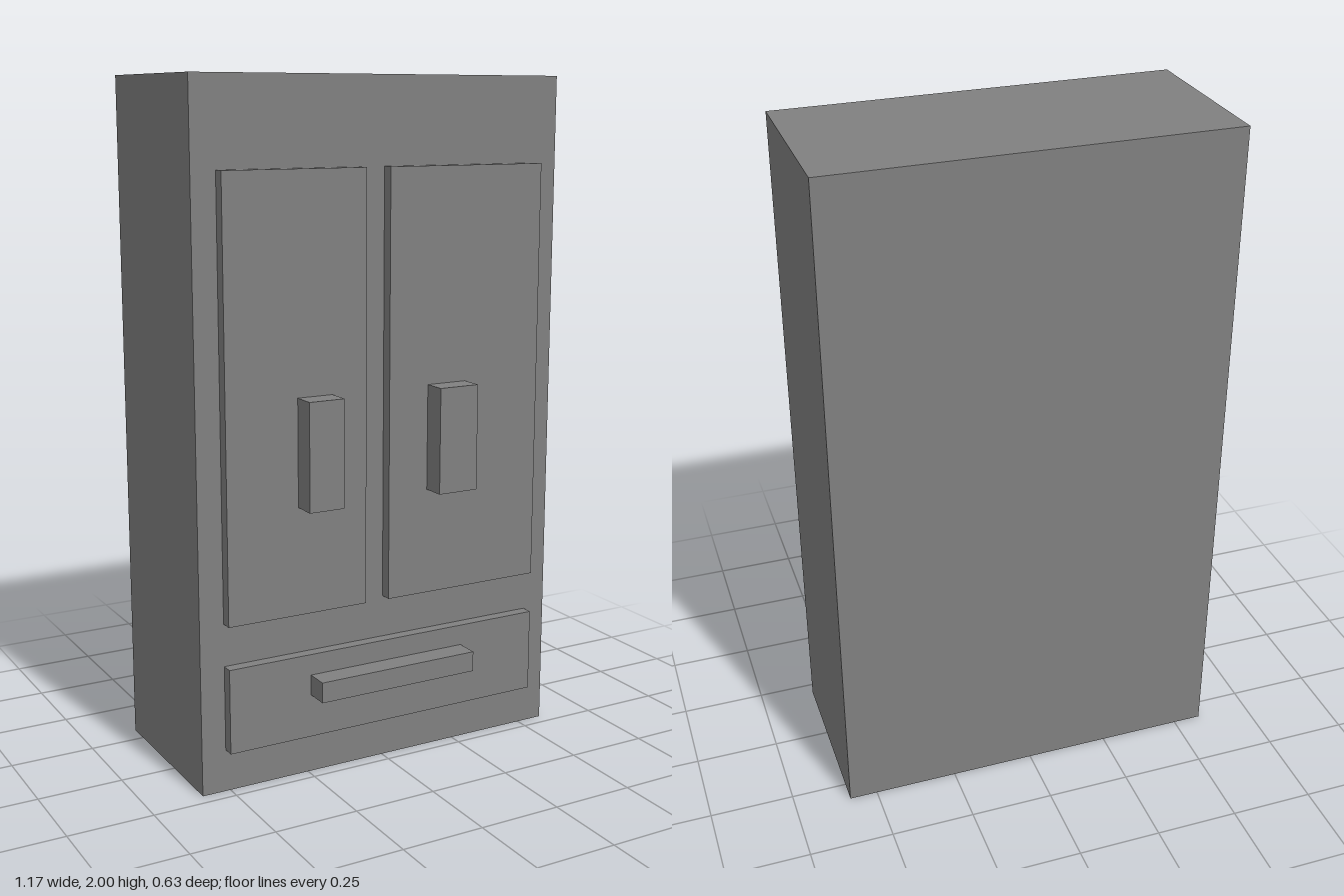
import * as THREE from 'three';

export function createModel() {
  const group = new THREE.Group();
  group.name = 'wardrobe';
  const gray = new THREE.MeshStandardMaterial({ color: 0x808080 });
  gray.name = 'gray';

  // Box given by its limits on each axis
  function addBox(name, [x0, x1], [y0, y1], [z0, z1]) {
    const mesh = new THREE.Mesh(new THREE.BoxGeometry(x1 - x0, y1 - y0, z1 - z0), gray);
    mesh.position.set((x0 + x1) / 2, (y0 + y1) / 2, (z0 + z1) / 2);
    mesh.name = name;
    group.add(mesh);
  }

  const panelDepth = [0.21, 0.245];
  const handleDepth = [0.245, 0.315];
  const doorHeight = [0.5, 1.75];
  const doorHandleHeight = [0.815, 1.127];

  // Cabinet body
  addBox('body', [-0.586, 0.584], [0, 2], [-0.315, 0.21]);

  // Doors: the left one is slightly wider
  addBox('rightDoor', [-0.513, -0.076], doorHeight, panelDepth);
  addBox('leftDoor', [0, 0.511], doorHeight, panelDepth);
  addBox('rightDoorHandle', [-0.294, -0.185], doorHandleHeight, handleDepth);
  addBox('leftDoorHandle', [0.128, 0.255], doorHandleHeight, handleDepth);

  // Drawer along the bottom
  addBox('drawer', [-0.513, 0.511], [0.125, 0.375], panelDepth);
  addBox('drawerHandle', [-0.257, 0.255], [0.252, 0.313], handleDepth);

  return group;
}
